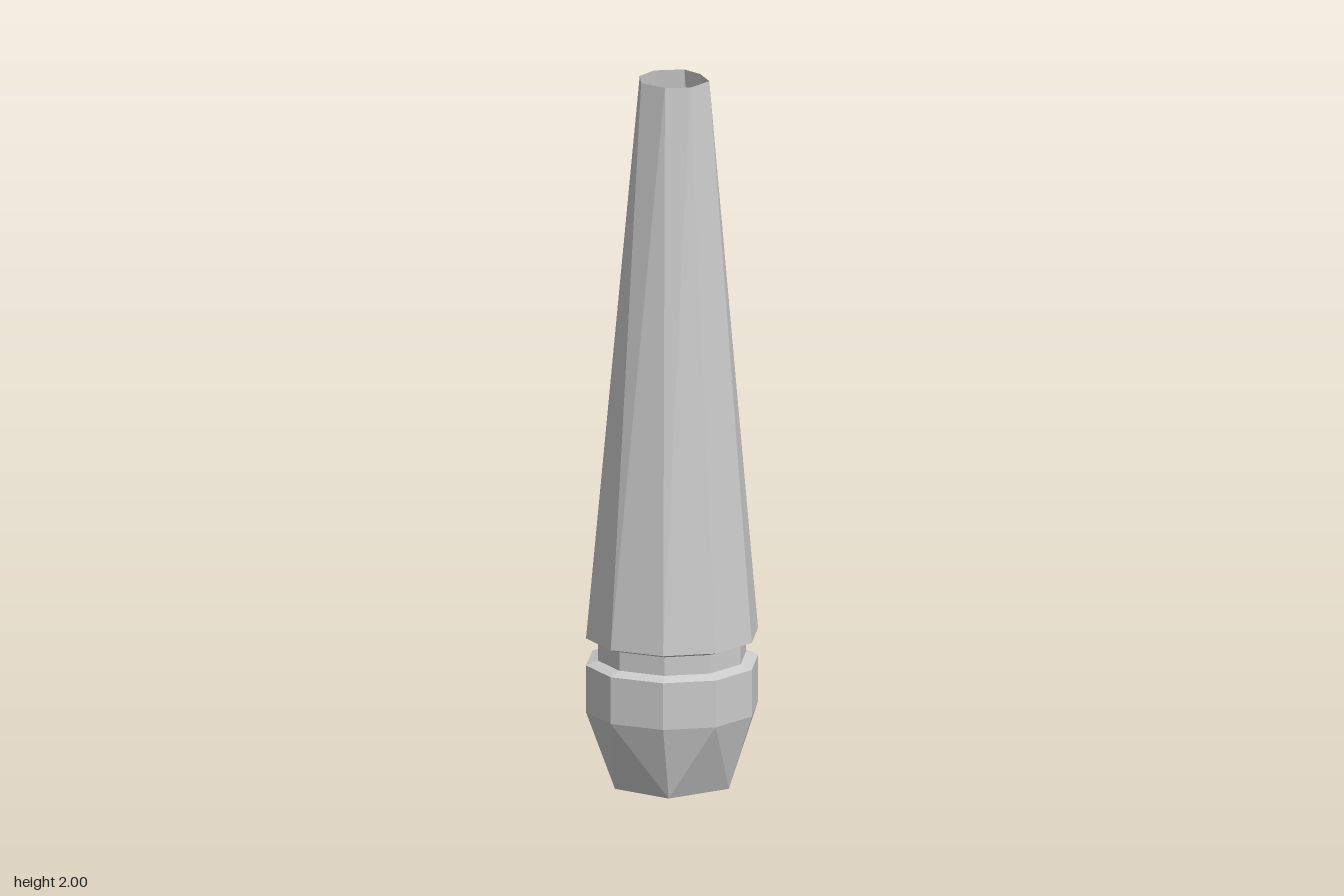
import * as THREE from 'three';

// Cross-sections as [x, z], all running the same way round from +x
const WIDE = [[0.24, 0.005], [0.195, -0.145], [0.085, -0.228], [-0.068, -0.23], [-0.19, -0.147],
  [-0.24, -0.008], [-0.197, 0.14], [-0.087, 0.226], [0.07, 0.227], [0.192, 0.145]];
const TIP = [[0.102, -0.022], [0.05, -0.08], [-0.008, -0.106], [-0.08, -0.065],
  [-0.095, 0.003], [-0.063, 0.068], [0.017, 0.09], [0.08, 0.06]];
const FOOT = [[0.173, 0.008], [0.13, -0.12], [-0.06, -0.16], [-0.172, -0.04], [-0.115, 0.13], [0.06, 0.165]];

const ring = (outline, y, scale = 1) => outline.map(([x, z]) => new THREE.Vector3(x * scale, y, z * scale));

// Angle of the i-th corner, carried on past a full turn
function angle(r, i) {
  const p = r[i % r.length];
  let a = Math.atan2(-p.z, p.x);
  if (a < -0.5) a += Math.PI * 2;
  return a + Math.floor(i / r.length) * Math.PI * 2;
}

// Joins two rings with triangles, choosing the less twisted diagonal each time
function stitch(a, b, out) {
  let i = 0, j = 0;
  while (i < a.length || j < b.length) {
    const stepLower = Math.abs(angle(a, i + 1) - angle(b, j));
    const stepUpper = Math.abs(angle(a, i) - angle(b, j + 1));
    const p = a[i % a.length], q = b[j % b.length];
    if (j >= b.length || (i < a.length && stepLower <= stepUpper)) out.push(p, a[++i % a.length], q);
    else out.push(p, b[++j % b.length], q);
  }
}

function loft(name, rings, material) {
  const points = [];
  for (let k = 0; k + 1 < rings.length; k++) stitch(rings[k], rings[k + 1], points);
  const geometry = new THREE.BufferGeometry().setFromPoints(points);
  geometry.computeVertexNormals();
  const mesh = new THREE.Mesh(geometry, material);
  mesh.name = name;
  return mesh;
}

export function createModel() {
  const group = new THREE.Group();
  group.name = 'taperedTube';
  const material = new THREE.MeshStandardMaterial({ color: 0xcccccc, flatShading: true, side: THREE.DoubleSide });

  group.add(
    // Narrowing open foot
    loft('foot', [ring(FOOT, 0), ring(WIDE, 0.212)], material),
    // Straight band above the foot
    loft('collar', [ring(WIDE, 0.212), ring(WIDE, 0.345)], material),
    // Recessed groove with sloped lips
    loft('neck', [ring(WIDE, 0.345), ring(WIDE, 0.357, 0.86), ring(WIDE, 0.41, 0.86), ring(WIDE, 0.422)], material),
    // Long tapered shaft, open at the tip
    loft('shaft', [ring(WIDE, 0.422), ring(TIP, 2)], material),
  );
  return group;
}
